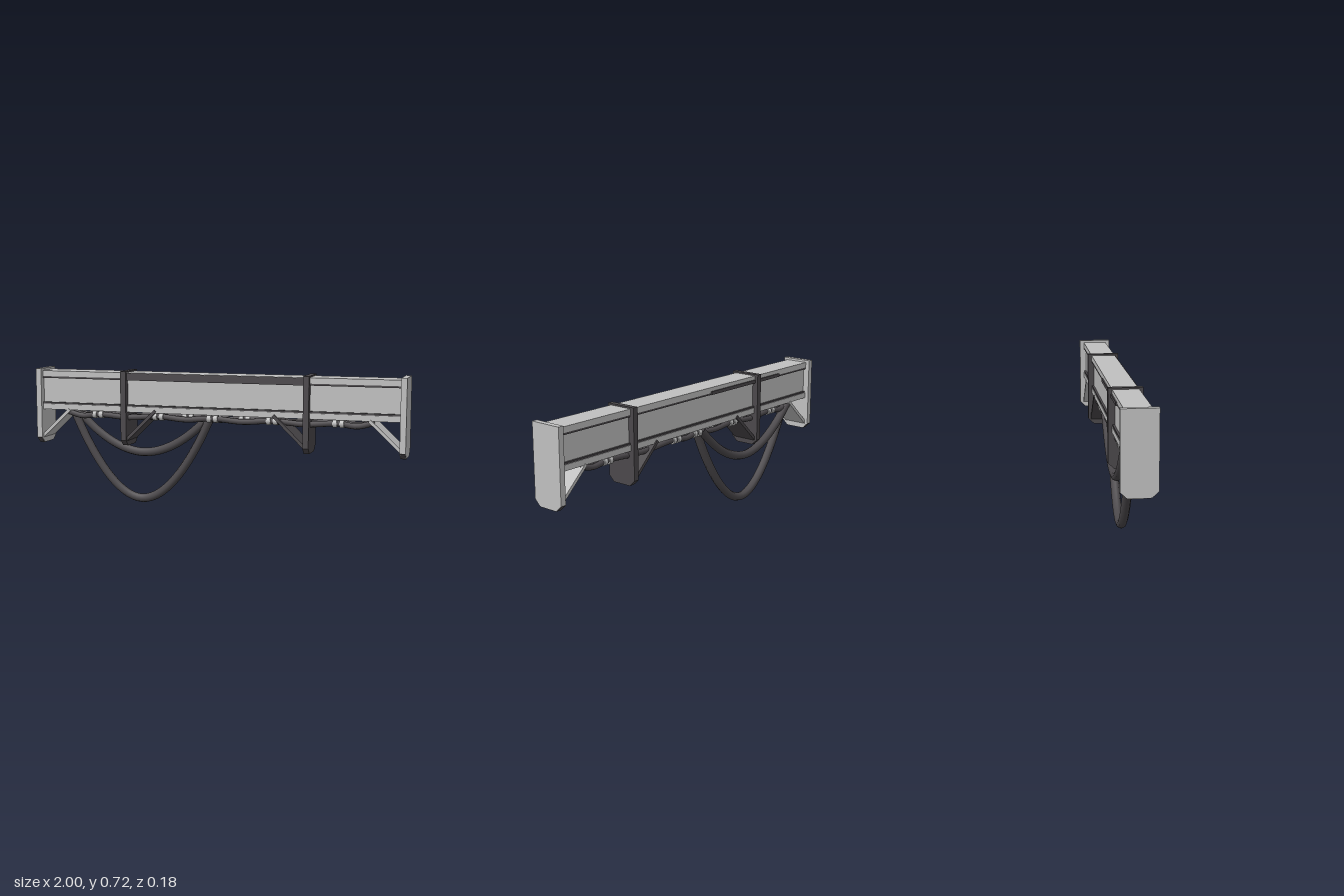
import * as THREE from 'three';

export function createModel() {
  const model = new THREE.Group();
  model.name = 'cableBeam';
  const light = new THREE.MeshStandardMaterial({ color: 0xc0c0c0 });
  light.name = 'light grey metal';
  const dark = new THREE.MeshStandardMaterial({ color: 0x4b484b });
  dark.name = 'dark grey rubber';

  const add = (name, geometry, material, x = 0, y = 0, z = 0) => {
    const mesh = new THREE.Mesh(geometry, material);
    mesh.name = name;
    mesh.position.set(x, y, z);
    model.add(mesh);
    return mesh;
  };
  const box = (name, material, w, h, d, x, y, z) =>
    add(name, new THREE.BoxGeometry(w, h, d), material, x, y, z);

  // Upright plate with chamfered lower corners, facing along x
  const plate = (name, material, x, thickness, half, bottom, top) => {
    const s = new THREE.Shape([
      [-half, top], [-half, bottom + 0.03], [-half + 0.032, bottom],
      [half - 0.032, bottom], [half, bottom + 0.03], [half, top],
    ].map(([a, b]) => new THREE.Vector2(a, b)));
    const g = new THREE.ExtrudeGeometry(s, { depth: thickness, bevelEnabled: false });
    g.translate(0, 0, -thickness / 2).rotateY(Math.PI / 2);
    return add(name, g, material, x);
  };

  // Sloping brace plate between two points in the xy plane
  const brace = (name, material, x1, y1, x2, y2, depth) => {
    const length = Math.hypot(x2 - x1, y2 - y1);
    const m = box(name, material, length, 0.016, depth, (x1 + x2) / 2, (y1 + y2) / 2, 0);
    m.rotation.z = Math.atan2(y2 - y1, x2 - x1);
  };

  // I-beam: web, flanges and the dark seams beside them
  box('beamWeb', light, 1.95, 0.2, 0.104, 0, 0.605, 0);
  box('topFlange', light, 1.95, 0.03, 0.13, 0, 0.695, 0);
  box('bottomFlange', light, 1.95, 0.03, 0.13, 0, 0.515, 0);
  for (const side of [1, -1]) {
    box('upperSeam', dark, 1.95, 0.01, 0.012, 0, 0.675, side * 0.057);
    box('lowerSeam', dark, 1.95, 0.009, 0.012, 0, 0.535, side * 0.057);
  }
  box('frontTrim', dark, 0.98, 0.038, 0.007, 0, 0.689, 0.0655);
  box('backTrim', dark, 0.6, 0.018, 0.007, -0.4, 0.68, -0.068);

  // End plates and hanger clamps, each with an inward brace
  for (const side of [1, -1]) {
    plate('endPlate', light, side * 0.985, 0.03, 0.087, 0.318, 0.722);
    brace('endBrace', light, side * 0.985, 0.343, side * 0.815, 0.502, 0.136);
    box('endFoot', dark, 0.026, 0.024, 0.1, side * 0.986, 0.328, 0);
    plate('endFootCover', dark, side * 0.985, 0.024, 0.088, 0.317, 0.348);
    plate('hangerClamp', dark, side * 0.495, 0.03, 0.085, 0.32, 0.718);
    brace('hangerBrace', dark, side * 0.495, 0.343, side * 0.32, 0.512, 0.142);
  }

  // Cable runs under the beam, sagging between their clips
  const clipRows = [
    { z: 0.04, clips: [-0.655, -0.31, -0.01, 0.31, 0.655] },
    { z: 0, clips: [-0.655, -0.155, 0.155, 0.655] },
    { z: -0.04, clips: [-0.655, -0.31, -0.01, 0.155, 0.655] },
  ];
  for (const { z, clips } of clipRows) {
    const stops = [-0.84, ...clips, 0.84];
    const points = [];
    stops.forEach((x, i) => {
      const end = i === 0 || i === stops.length - 1;
      points.push(new THREE.Vector3(x, end ? 0.492 : 0.48, z));
      if (i < stops.length - 1)
        points.push(new THREE.Vector3((x + stops[i + 1]) / 2, 0.469, z));
    });
    add('cableRun', new THREE.TubeGeometry(new THREE.CatmullRomCurve3(points), 64, 0.015, 8), dark);
    for (const x of clips) for (const dx of [-0.018, 0.018]) {
      const g = new THREE.CylinderGeometry(0.021, 0.021, 0.022, 12).rotateZ(Math.PI / 2);
      add('cableClip', g, light, x + dx, 0.48, z);
    }
  }

  // Hanging cable loops
  const loop = (name, half, bottom, z) => {
    const points = [];
    for (let i = -6; i <= 6; i++) {
      const t = i / 6;
      points.push(new THREE.Vector3(-0.43 + t * half, bottom + (0.49 - bottom) * Math.abs(t) ** 1.9, z));
    }
    add(name, new THREE.TubeGeometry(new THREE.CatmullRomCurve3(points), 48, 0.023, 8), dark);
  };
  loop('longCableLoop', 0.395, 0.023, -0.017);
  loop('shortCableLoop', 0.385, 0.272, -0.044);

  return model;
}
